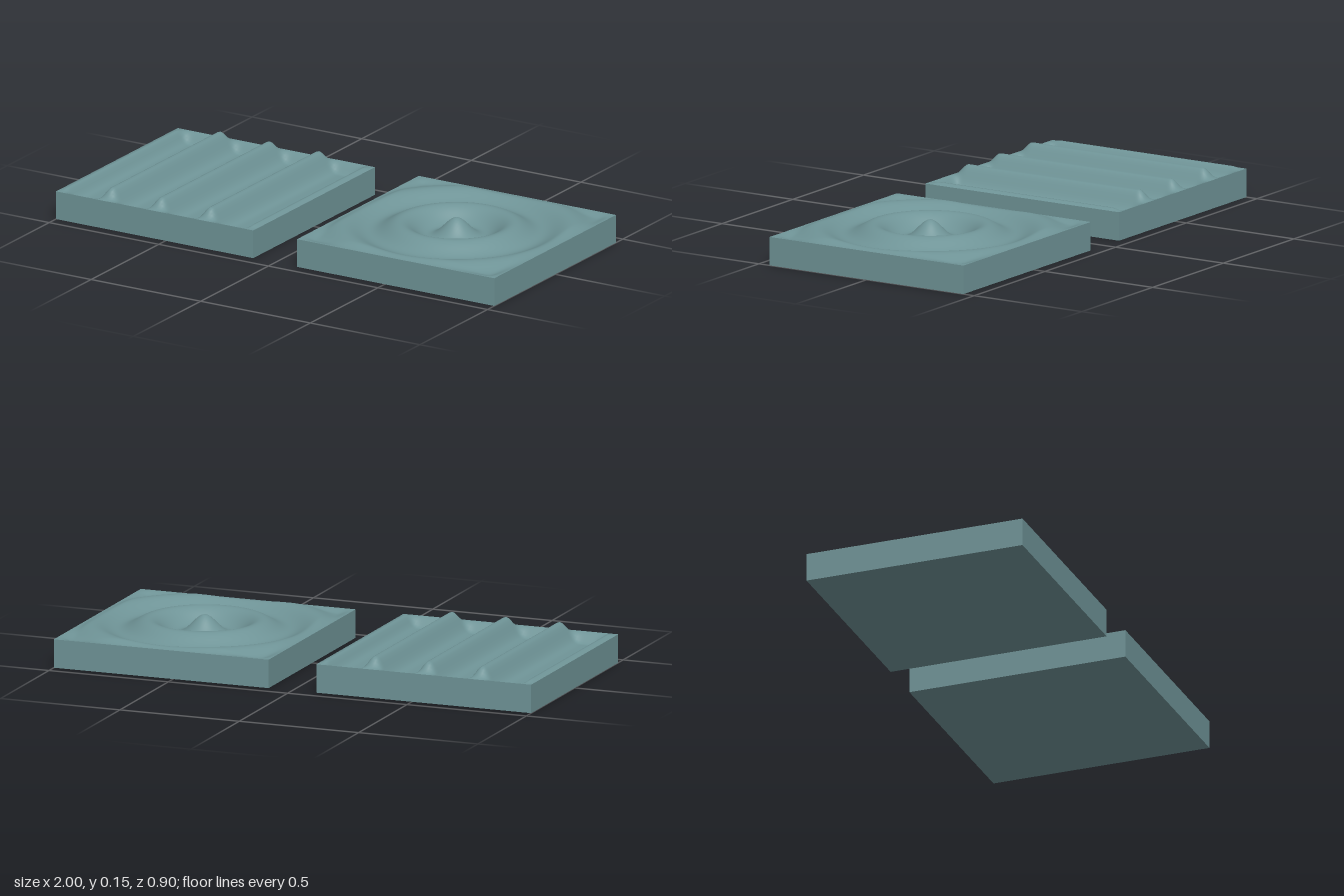
import * as THREE from 'three';

const SIZE = 0.9;      // tile width and depth
const RIM = 0.1135;    // height of the still surface
const AMP = 0.041;     // wave height
const FADE = 0.054;    // margin where waves flatten towards the rim
const PERIOD = 0.225;  // wave length
const SEGMENTS = 96;

const wave = (d) => Math.cos((2 * Math.PI * d) / PERIOD);

// Narrow parallel crests with broad troughs, running front to back
const ridges = (x) => 2 * Math.pow((wave(x) + 1) / 2, 2.5) - 1;

// Concentric ripples that die away from the centre
const ripples = (x, z) => {
  const r = Math.hypot(x, z);
  return wave(r) * Math.exp(-2.27 * r);
};

// Slab whose top face is displaced by a height rule; the sides stay straight
function tile(name, x, height, material) {
  const geometry = new THREE.BoxGeometry(SIZE, RIM, SIZE, SEGMENTS, 1, SEGMENTS);
  geometry.translate(0, RIM / 2, 0);
  const p = geometry.attributes.position;
  const edge = (v) => THREE.MathUtils.smoothstep(SIZE / 2 - Math.abs(v), 0, FADE);
  for (let i = 0; i < p.count; i++) {
    if (p.getY(i) < RIM / 2) continue;
    const px = p.getX(i), pz = p.getZ(i);
    p.setY(i, RIM + AMP * height(px, pz) * edge(px) * edge(pz));
  }
  geometry.computeVertexNormals();
  const mesh = new THREE.Mesh(geometry, material);
  mesh.name = name;
  mesh.position.x = x;
  return mesh;
}

export function createModel() {
  const water = new THREE.MeshStandardMaterial({ color: 0x6f9497 });
  water.name = 'greyTeal';

  const model = new THREE.Group();
  model.name = 'waveTiles';
  model.add(
    tile('parallelWaveTile', -0.55, ridges, water),
    tile('circularRippleTile', 0.55, ripples, water),
  );
  return model;
}
